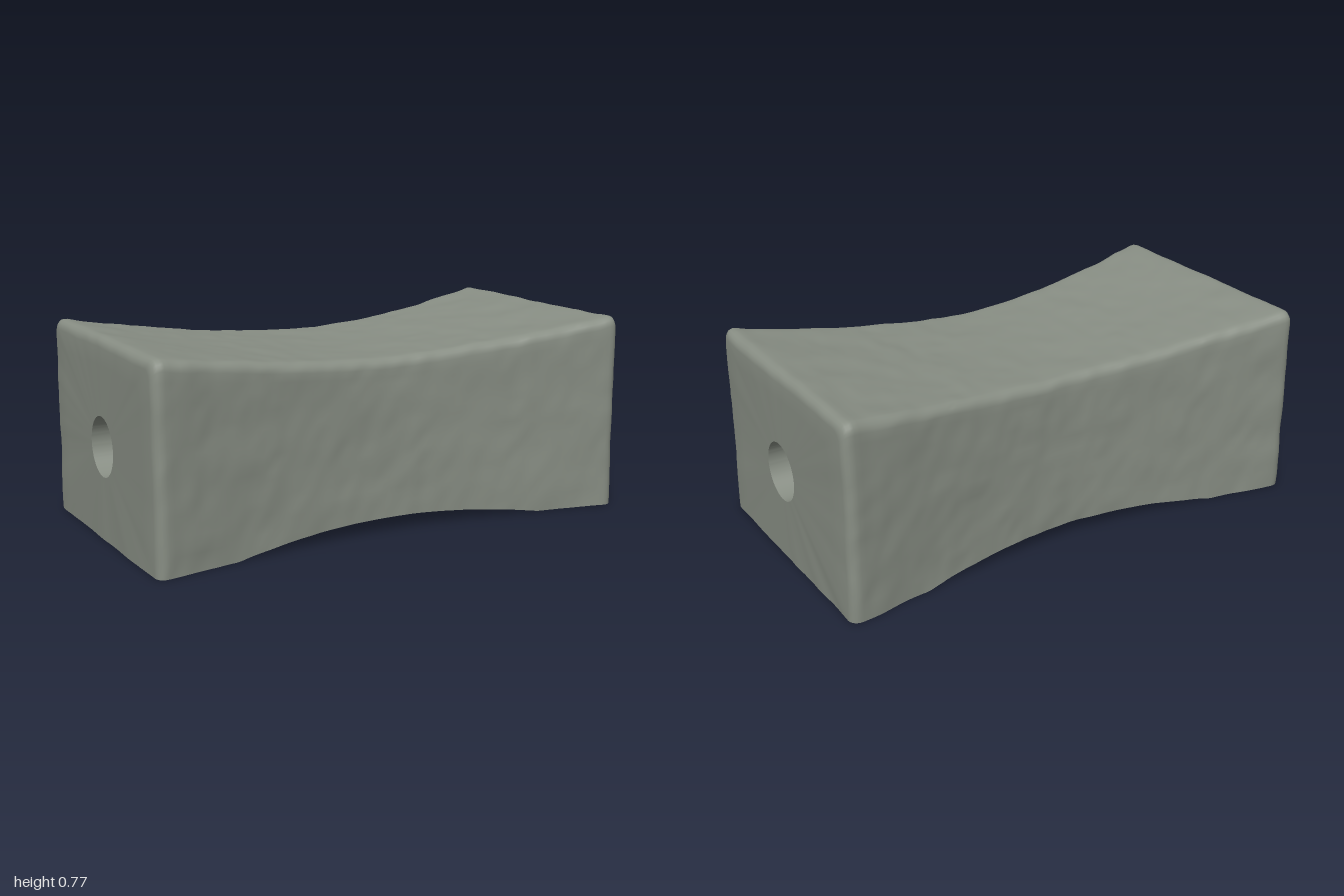
import * as THREE from 'three';
import { toCreasedNormals } from 'three/addons/utils/BufferGeometryUtils.js';

// Seeded smooth value noise in [-1, 1]
function hash(i, j, k, seed) {
  const s = Math.sin(i * 127.1 + j * 311.7 + k * 74.7 + seed * 53.3) * 43758.5453;
  return (s - Math.floor(s)) * 2 - 1;
}
function noise(x, y, z, seed) {
  const i = Math.floor(x), j = Math.floor(y), k = Math.floor(z);
  const ease = t => t * t * (3 - 2 * t);
  const u = ease(x - i), v = ease(y - j), w = ease(z - k);
  let sum = 0;
  for (let a = 0; a < 2; a++) for (let b = 0; b < 2; b++) for (let c = 0; c < 2; c++) {
    sum += hash(i + a, j + b, k + c, seed) * (a ? u : 1 - u) * (b ? v : 1 - v) * (c ? w : 1 - w);
  }
  return sum;
}
const rough = (p, seed) =>
  0.004 * noise(p.x * 8, p.y * 8, p.z * 8, seed) + 0.0025 * noise(p.x * 20, p.y * 20, p.z * 20, seed + 9);

const END = 0.99, ROUND = 0.045;

// Cross-section at x: square foot, rounded shoulders, waisted towards the middle
function section(x, inset) {
  const h = 0.405 + 0.13 * Math.pow(Math.abs(x), 1.7) - inset;
  const top = 0.672 + 0.108 * Math.pow(Math.abs(x), 1.7) - inset;
  const foot = 0.055 * Math.max(0, 1 - (x / 0.66) ** 2);
  const r = 0.04, pts = [];
  const add = (y, z) => pts.push(new THREE.Vector3(x, y, z));
  const line = (y0, z0, y1, z1, n) => {
    for (let i = 0; i < n; i++) add(y0 + (y1 - y0) * i / n, z0 + (z1 - z0) * i / n);
  };
  const corner = (z, from) => {
    for (let i = 0; i < 5; i++) {
      const a = from - i / 5 * Math.PI / 2;
      add(top - r + r * Math.sin(a), z + r * Math.cos(a));
    }
  };
  line(foot, h, foot, -h, 24);
  line(foot, -h, top - r, -h, 20);
  corner(-h + r, Math.PI);
  line(top, -h + r, top, h - r, 26);
  // second shoulder
  corner(h - r, Math.PI / 2);
  line(top - r, h, foot, h, 20);
  return pts;
}

// Worn surface: the foot stays level
function weather(p, foot) {
  const q = p.clone();
  q.x += rough(p, 1) * 0.6;
  q.y += rough(p, 2) * Math.min(1, Math.max(0, (p.y - foot) / 0.1));
  q.z += rough(p, 3);
  return q;
}

// Slightly slanted bore, sampled at the same angles as the section ring
function boreRing(ring, x) {
  const cz = 0.016 + 0.019 * x, cy = 0.361;
  return ring.map(p => {
    const a = Math.atan2(p.y - cy, p.z - cz);
    return new THREE.Vector3(x, cy + 0.115 * Math.sin(a), cz + 0.115 * Math.cos(a));
  });
}

function stoneGeometry() {
  // Stations along x, with rounded end edges
  const stations = [];
  for (let i = 0; i <= 5; i++) {
    const a = i / 5 * Math.PI / 2;
    stations.push([-END + ROUND * (1 - Math.sin(a)), ROUND * (1 - Math.cos(a))]);
  }
  stations.reverse();
  const left = stations.slice().reverse();
  const inner = END - ROUND, middle = [];
  for (let i = 1; i < 90; i++) middle.push([-inner + 2 * inner * i / 90, 0]);
  const ends = left.map(([x, d]) => [x, d]).sort((a, b) => a[0] - b[0]);
  const all = [...ends, ...middle, ...ends.slice().reverse().map(([x, d]) => [-x, d])];
  const rings = all.map(([x, d]) => {
    const pts = section(x, d);
    return pts.map(p => weather(p, pts[0].y));
  });
  const first = rings[0], last = rings[rings.length - 1];

  // End face, bore and opposite end face close the loop
  const rimR = boreRing(last, END), rimL = boreRing(first, -END);
  const blend = (a, b, t) => a.map((p, i) => p.clone().lerp(b[i], t));
  for (const t of [0.25, 0.5, 0.75]) rings.push(blend(last, rimR, t));
  for (let i = 0; i <= 8; i++) rings.push(blend(rimR, rimL, i / 8));
  for (const t of [0.25, 0.5, 0.75]) rings.push(blend(rimL, first, t));

  const n = first.length, pos = [], index = [];
  rings.forEach(r => r.forEach(p => pos.push(p.x, p.y, p.z)));
  for (let s = 0; s < rings.length; s++) {
    const t = (s + 1) % rings.length;
    for (let k = 0; k < n; k++) {
      const m = (k + 1) % n;
      const a = s * n + k, b = s * n + m, c = t * n + k, d = t * n + m;
      index.push(a, b, c, b, d, c);
    }
  }
  const geo = new THREE.BufferGeometry();
  geo.setAttribute('position', new THREE.Float32BufferAttribute(pos, 3));
  geo.setIndex(index);
  return toCreasedNormals(geo, 0.7);
}

export function createModel() {
  const stone = new THREE.MeshStandardMaterial({ color: 0x888e84 });
  stone.name = 'greyStone';
  const group = new THREE.Group();
  group.name = 'boredStone';
  const body = new THREE.Mesh(stoneGeometry(), stone);
  body.name = 'stoneBody';
  group.add(body);
  return group;
}
